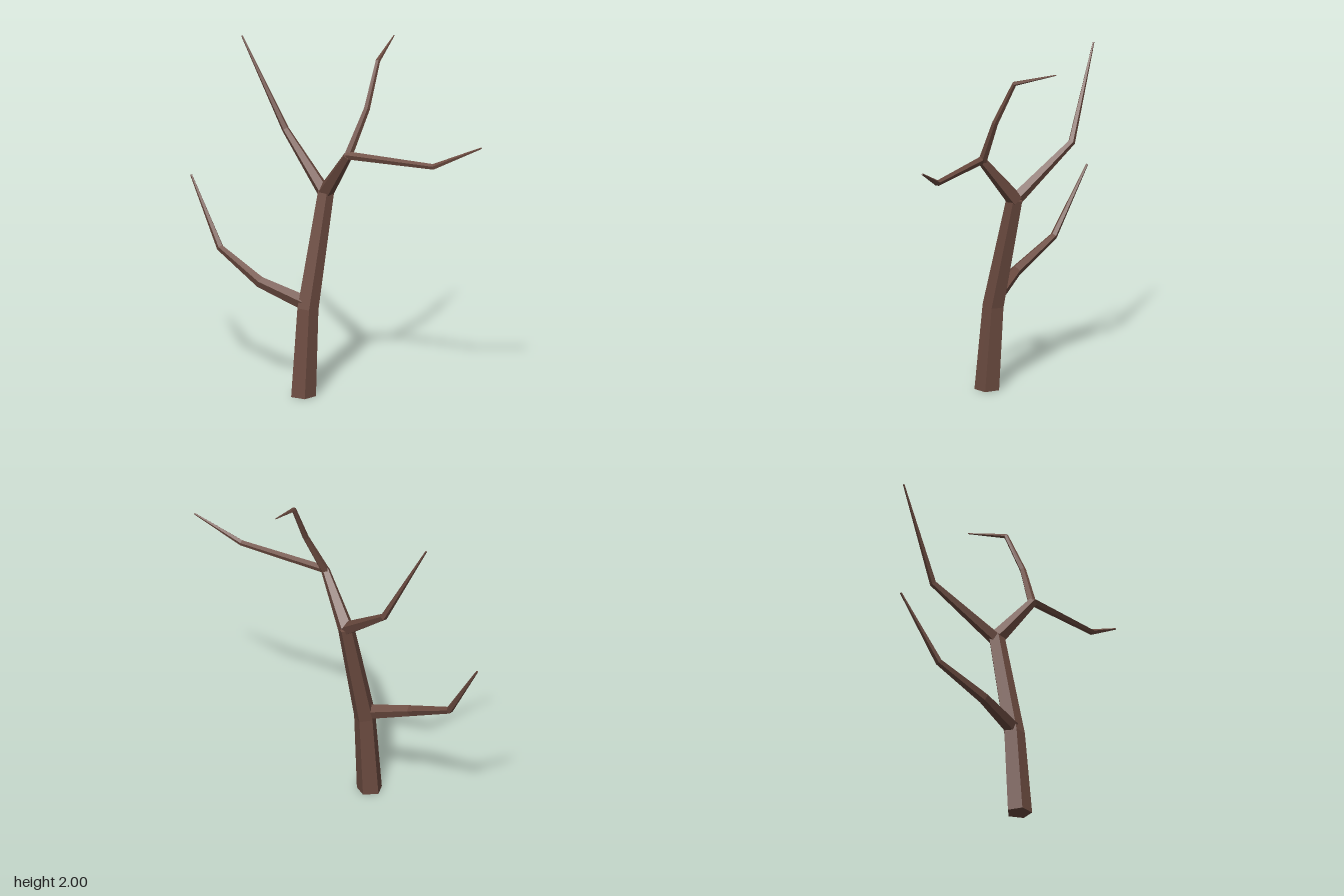
import * as THREE from 'three';

const SIDES = 5;

// Faceted limb: pentagon rings lofted along points [x, y, z, radius], closed at both ends
function limb(points, firstDir) {
  const p = points.map(([x, y, z]) => new THREE.Vector3(x, y, z));
  const last = p.length - 1;
  const normal = new THREE.Vector3(0, 0, -1);
  const rings = p.map((c, i) => {
    // ring plane halves the bend between neighbouring segments
    const dir = new THREE.Vector3();
    if (i > 0) dir.add(c.clone().sub(p[i - 1]).normalize());
    if (i < last) dir.add(p[i + 1].clone().sub(c).normalize());
    if (i === 0 && firstDir) dir.copy(firstDir);
    dir.normalize();
    // carry the same corner direction along the limb to avoid twisting
    if (i === 0 && Math.abs(dir.z) > 0.8) normal.set(0, 1, 0);
    normal.addScaledVector(dir, -normal.dot(dir)).normalize();
    const side = dir.clone().cross(normal);
    return Array.from({ length: SIDES }, (_, k) => {
      const a = (k / SIDES) * Math.PI * 2;
      return c.clone()
        .addScaledVector(normal, Math.cos(a) * points[i][3])
        .addScaledVector(side, Math.sin(a) * points[i][3]);
    });
  });

  const verts = [];
  const tri = (...corners) => corners.forEach((v) => verts.push(v.x, v.y, v.z));
  for (let k = 0; k < SIDES; k++) {
    const n = (k + 1) % SIDES;
    for (let i = 0; i < last; i++) {
      const lo = rings[i], hi = rings[i + 1];
      tri(lo[k], lo[n], hi[n]);
      tri(lo[k], hi[n], hi[k]);
    }
    tri(p[0], rings[0][n], rings[0][k]);
    tri(p[last], rings[last][k], rings[last][n]);
  }
  const g = new THREE.BufferGeometry();
  g.setAttribute('position', new THREE.Float32BufferAttribute(verts, 3));
  g.computeVertexNormals();
  return g;
}

export function createModel() {
  const tree = new THREE.Group();
  tree.name = 'bareTree';
  const bark = new THREE.MeshStandardMaterial({ color: 0x6d4c41, flatShading: true });
  bark.name = 'brown bark';

  const add = (name, points, firstDir) => {
    const mesh = new THREE.Mesh(limb(points, firstDir), bark);
    mesh.name = name;
    tree.add(mesh);
  };

  // Leaning trunk with a flat foot
  add('trunk', [
    [-0.272, 0, -0.057, 0.074], [-0.23, 0.5, -0.065, 0.063], [-0.073, 1.155, -0.08, 0.048],
  ], new THREE.Vector3(0, 1, 0));

  // Low branch sweeping back
  add('lowerBranch', [
    [-0.24, 0.535, -0.085, 0.044], [-0.335, 0.617, -0.335, 0.033],
    [-0.352, 0.755, -0.645, 0.021], [-0.341, 1.125, -0.892, 0.006],
  ]);

  // Upper fork, rear arm
  add('rearBranch', [
    [-0.078, 1.145, -0.085, 0.04], [-0.017, 1.418, -0.465, 0.021], [-0.109, 1.93, -0.722, 0.005],
  ]);

  // Upper fork, front arm
  add('frontBranch', [
    [-0.073, 1.15, -0.08, 0.047], [-0.112, 1.418, 0.14, 0.026],
  ]);

  // Twigs splitting from the front arm
  add('frontTwig', [
    [-0.112, 1.42, 0.135, 0.024], [0.065, 1.43, 0.65, 0.017], [0.202, 1.565, 0.895, 0.005],
  ]);
  add('topTwig', [
    [-0.11, 1.41, 0.135, 0.025], [0.018, 1.67, 0.157, 0.018],
    [0.137, 1.918, 0.122, 0.014], [0.366, 1.997, 0.017, 0.003],
  ]);

  return tree;
}
